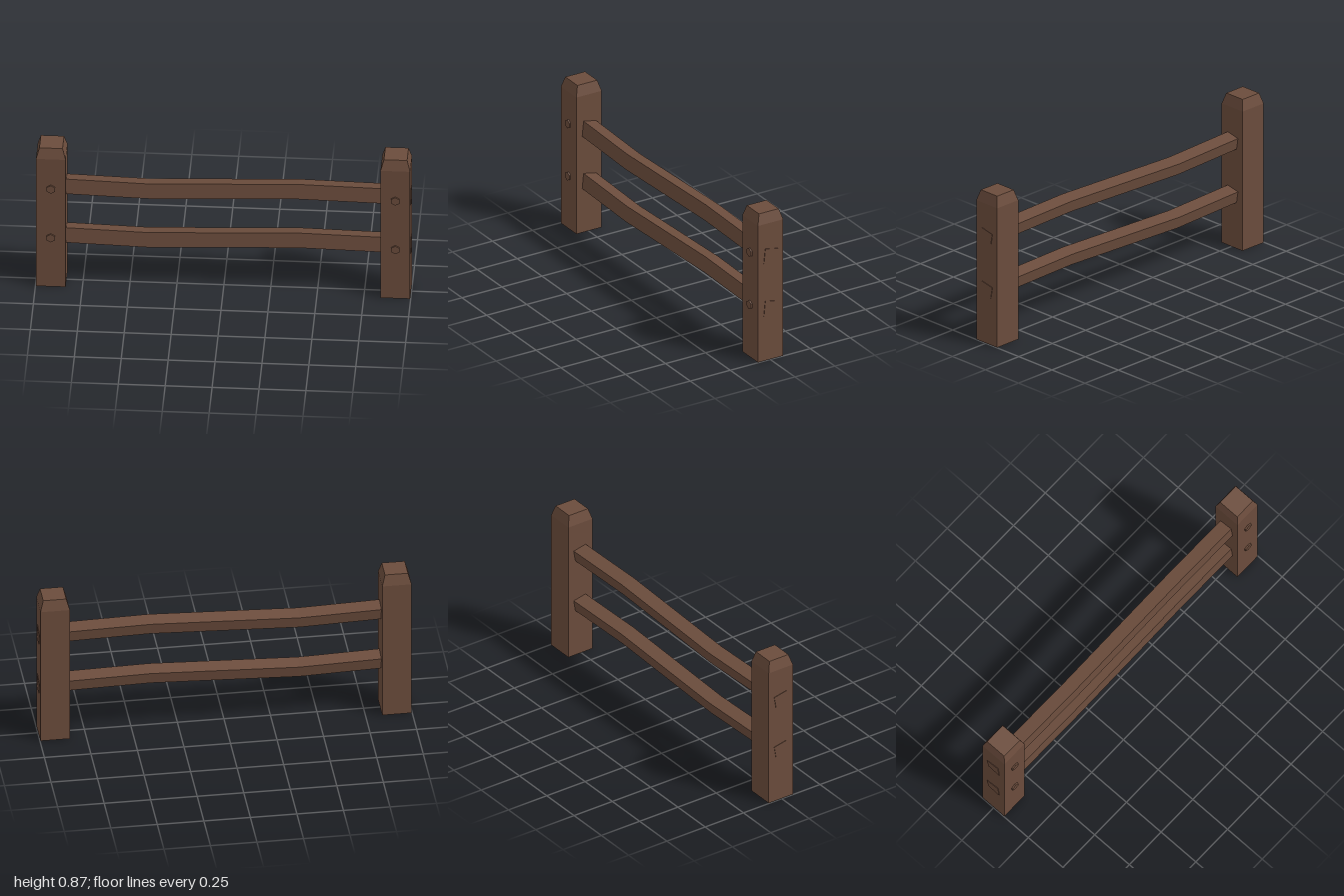
import * as THREE from 'three';

const wood = new THREE.MeshStandardMaterial({ color: 0x6b4c3c });
wood.name = 'brown wood';

// Moves every vertex of a geometry by a rule and gives it flat facets
function reshape(geometry, rule) {
  const flat = geometry.toNonIndexed();
  const pos = flat.attributes.position;
  const v = new THREE.Vector3();
  for (let i = 0; i < pos.count; i++) {
    rule(v.fromBufferAttribute(pos, i));
    pos.setXYZ(i, v.x, v.y, v.z);
  }
  flat.computeVertexNormals();
  return flat;
}

function part(name, geometry, x, y, z) {
  const mesh = new THREE.Mesh(geometry, wood);
  mesh.name = name;
  mesh.position.set(x, y, z);
  return mesh;
}

// Square post with a bevelled top
function postGeometry() {
  const heights = [0, 0.807, 0.867];
  return reshape(new THREE.BoxGeometry(0.158, 2, 0.158, 1, 2, 1), (v) => {
    const row = Math.round(v.y + 1);
    if (row === 2) {
      v.x *= 0.78;
      v.z *= 0.78;
    }
    v.y = heights[row];
  });
}

// Skewed four-sided rail that dips on one side and rises on the other
function railGeometry() {
  const stations = [-1, -0.4, 0.4, 1];
  const bend = [0, -0.018, 0.012, 0];
  return reshape(new THREE.BoxGeometry(3, 2, 2, 3, 1, 1), (v) => {
    const i = Math.round(v.x + 1.5);
    const top = v.y > 0;
    const front = v.z > 0;
    v.x = stations[i];
    v.y = bend[i] + (top ? (front ? 0.041 : 0.025) : (front ? -0.047 : -0.04));
    v.z = top ? (front ? 0.03 : -0.048) : (front ? 0.039 : -0.037);
  });
}

export function createModel() {
  const group = new THREE.Group();
  group.name = 'fence';
  const post = postGeometry();
  const rail = railGeometry();
  const bolt = new THREE.CylinderGeometry(0.025, 0.025, 0.03, 6).rotateX(Math.PI / 2).toNonIndexed();
  bolt.computeVertexNormals();

  const railHeights = { lower: 0.311, upper: 0.62 };
  for (const [level, y] of Object.entries(railHeights)) {
    group.add(part(`${level}Rail`, rail, 0, y, 0));
  }

  // Posts with a hexagonal bolt at each rail
  for (const [side, s] of [['left', 1], ['right', -1]]) {
    group.add(part(`${side}Post`, post, s * 0.918, 0, -0.004));
    for (const [level, y] of Object.entries(railHeights)) {
      group.add(part(`${side}${level}Bolt`, bolt, s * 0.918, y, 0.069));
    }
  }
  return group;
}
